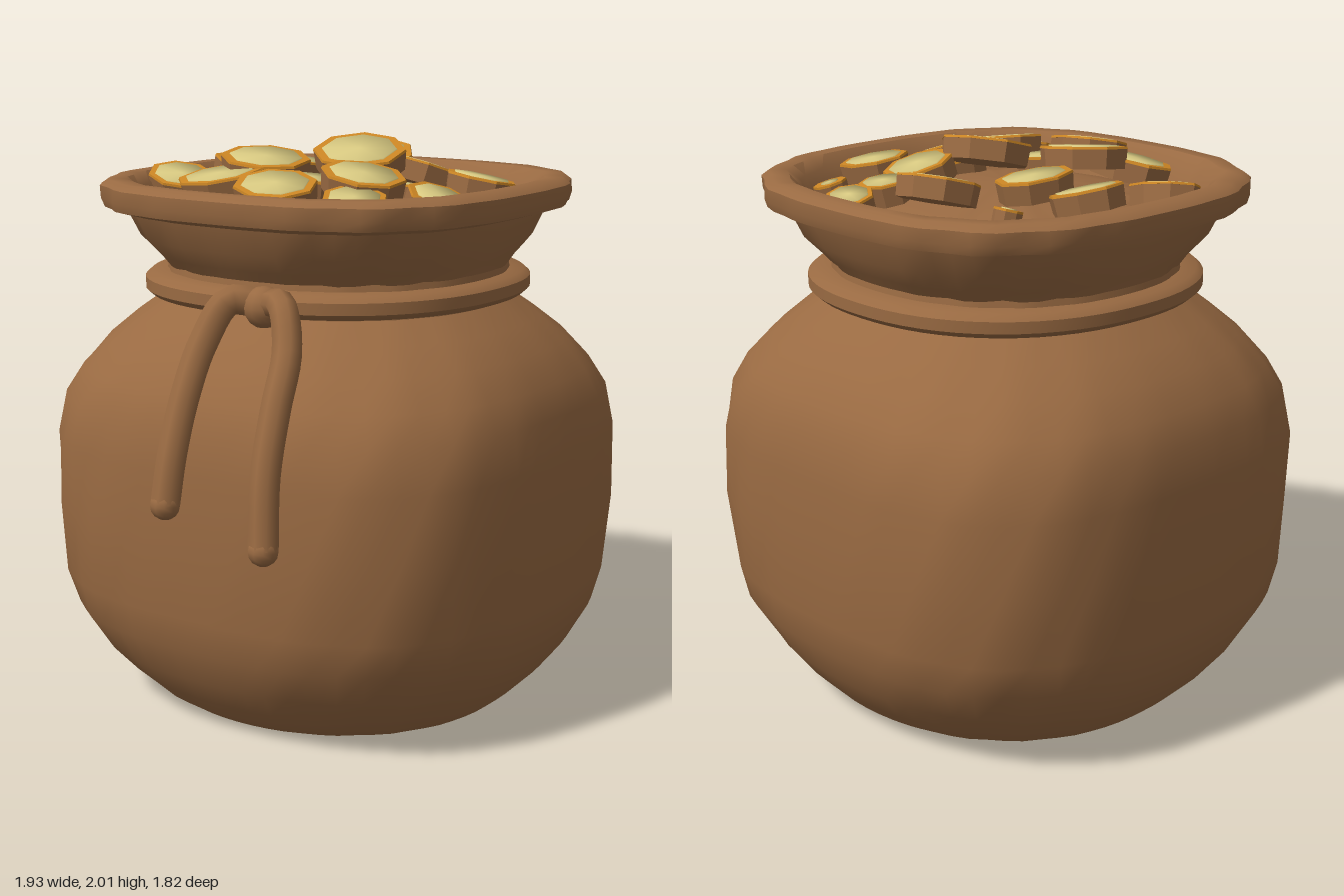
import * as THREE from 'three';
import { toCreasedNormals } from 'three/addons/utils/BufferGeometryUtils.js';

const CX = 0.07; // the sack sits slightly to its left, the strings hang on its right

// Superellipse rings: each row is [y, half width, half depth, squareness]
function loft(rows, wobble = 0, seg = 64) {
  const pos = [], idx = [];
  for (const [y, rx, rz, p] of rows) {
    for (let i = 0; i < seg; i++) {
      const a = (i / seg) * Math.PI * 2, c = Math.cos(a), s = Math.sin(a);
      const k = Math.pow(Math.abs(c) ** p + Math.abs(s) ** p, -1 / p);
      const w = 1 + wobble * Math.sin(2 * a) ** 2 * Math.sin(20 * a + 9 * y);
      pos.push(CX + c * k * rx * w, y, s * k * rz * w);
    }
  }
  for (let j = 0; j < rows.length - 1; j++) {
    for (let i = 0; i < seg; i++) {
      const a = j * seg + i, b = j * seg + (i + 1) % seg;
      idx.push(a, a + seg, b, b, a + seg, b + seg);
    }
  }
  const g = new THREE.BufferGeometry();
  g.setAttribute('position', new THREE.Float32BufferAttribute(pos, 3));
  g.setIndex(idx);
  return toCreasedNormals(g, 0.7);
}

export function createModel() {
  const model = new THREE.Group();
  const mat = (name, color) => new THREE.MeshStandardMaterial({ name, color });
  const cloth = mat('brown cloth', 0x996a42);
  const orange = mat('orange gold', 0xcc8624);
  const cream = mat('pale gold', 0xd8c981);
  const add = (name, geometry, material, parent = model) => {
    const m = new THREE.Mesh(geometry, material);
    m.name = name;
    parent.add(m);
    return m;
  };

  // Bulging body with a flat base, up to the pinched neck
  add('sackBody', loft([
    [0, 0.001, 0.001, 2], [0, 0.62, 0.64, 2.05], [0.04, 0.68, 0.69, 2.1], [0.11, 0.745, 0.76, 2.25],
    [0.2, 0.805, 0.825, 2.45], [0.33, 0.865, 0.885, 2.7], [0.45, 0.885, 0.905, 2.85],
    [0.7, 0.893, 0.912, 3], [0.95, 0.893, 0.912, 3], [1.1, 0.875, 0.895, 2.85],
    [1.2, 0.835, 0.855, 2.65], [1.3, 0.765, 0.785, 2.45], [1.38, 0.685, 0.7, 2.3],
    [1.45, 0.6, 0.61, 2.2], [1.58, 0.58, 0.59, 2.2],
  ], 0.006), cloth);

  // Flared collar, rolled rim and inner wall
  add('sackCollar', loft([
    [1.56, 0.58, 0.59, 2.2], [1.6, 0.61, 0.61, 2.3], [1.66, 0.655, 0.65, 2.5],
    [1.75, 0.69, 0.68, 2.65], [1.77, 0.755, 0.75, 2.75], [1.8, 0.765, 0.76, 2.75],
    [1.845, 0.765, 0.76, 2.75], [1.865, 0.74, 0.735, 2.75], [1.865, 0.69, 0.68, 2.7],
    [1.83, 0.655, 0.645, 2.6], [1.76, 0.625, 0.615, 2.5], [1.69, 0.59, 0.58, 2.5],
  ], 0.012), cloth);

  // Lumpy mound that carries the coins
  add('filling', loft([
    [1.7, 0.63, 0.62, 2.5], [1.76, 0.52, 0.52, 2.3], [1.79, 0.38, 0.38, 2],
    [1.82, 0.2, 0.2, 2], [1.83, 0.001, 0.001, 2],
  ], 0.06), cloth);

  // Cord tied around the neck
  add('neckCord', loft([
    [1.455, 0.56, 0.56, 2.2], [1.46, 0.645, 0.64, 2.25], [1.48, 0.668, 0.662, 2.25],
    [1.52, 0.668, 0.662, 2.25], [1.54, 0.645, 0.64, 2.25], [1.545, 0.56, 0.56, 2.2],
  ]), cloth);

  // Knot and two dangling cord ends
  const knot = add('cordKnot', new THREE.SphereGeometry(0.07, 12, 8), cloth);
  knot.position.set(-0.59, 1.5, 0.16);
  const ends = [
    [[-0.57, 1.5, 0.15], [-0.64, 1.52, 0.06], [-0.72, 1.39, 0.01], [-0.81, 1.22, 0], [-0.88, 1.04, 0], [-0.92, 0.88, 0]],
    [[-0.57, 1.5, 0.15], [-0.64, 1.52, 0.27], [-0.71, 1.39, 0.34], [-0.8, 1.22, 0.36], [-0.87, 1.02, 0.37], [-0.91, 0.79, 0.39]],
  ];
  for (const pts of ends) {
    const v = pts.map((p) => new THREE.Vector3(...p));
    add('cordEnd', new THREE.TubeGeometry(new THREE.CatmullRomCurve3(v), 24, 0.05, 8), cloth);
    add('cordTip', new THREE.SphereGeometry(0.051, 10, 8), cloth).position.copy(v[v.length - 1]);
  }

  // Coins: [x, y, z, half width, half depth, pitch toward front, roll toward right]
  const coins = [
    [-0.16, 1.82, -0.53, 0.105, 0.135, 0.2, 0.25], [0.13, 1.84, -0.455, 0.125, 0.135, 0.25, -0.05],
    [-0.31, 1.85, -0.23, 0.13, 0.165, -0.1, 0.2], [0.17, 1.86, -0.25, 0.145, 0.12, 0.1, -0.08],
    [-0.15, 1.9, -0.16, 0.15, 0.165, 0.12, 0.12], [0.48, 1.87, -0.11, 0.14, 0.145, 0.1, 0.3],
    [-0.44, 1.85, 0.1, 0.13, 0.15, 0.1, 0.25], [0.1, 1.92, 0.07, 0.16, 0.17, 0.12, 0.27],
    [-0.17, 1.84, 0.05, 0.1, 0.1, 0.1, 0], [0.3, 1.86, 0.18, 0.115, 0.14, 0.15, -0.3],
    [-0.18, 1.87, 0.27, 0.14, 0.15, 0.2, 0.1], [-0.35, 1.81, 0.35, 0.115, 0.11, 0.2, 0.2],
    [0, 1.82, 0.32, 0.105, 0.1, 0.1, -0.15], [-0.1, 1.8, 0.52, 0.13, 0.12, 0.4, 0],
    [0.27, 1.83, 0.46, 0.12, 0.13, 0.15, -0.12], [0.46, 1.82, 0.18, 0.075, 0.1, 0.1, -0.2],
    [0.59, 1.79, 0.2, 0.075, 0.1, 0, -0.3], [0.52, 1.79, 0.39, 0.06, 0.06, 0.2, -0.2],
    [0.38, 1.79, -0.33, 0.05, 0.05, 0, 0.3], [-0.5, 1.78, -0.12, 0.04, 0.05, 0, -0.2],
  ];
  coins.forEach(([x, y, z, rx, rz, pitch, roll], i) => {
    const coin = new THREE.Group();
    coin.name = 'coin';
    const disc = (name, top, bottom, h, cy, m) => {
      const g = toCreasedNormals(new THREE.CylinderGeometry(top, bottom, h, 8), 0.3);
      add(name, g.rotateY(i * 1.3).scale(rx, 1, rz), m, coin).position.y = cy;
    };
    const face = rx < 0.07 ? 0.5 : 0.79;
    disc('coinEdge', 0.99, 0.95, 0.07, 0, cloth);
    disc('coinBorder', 0.98, 1, 0.008, 0.037, orange);
    disc('coinFace', face, face + 0.02, 0.005, 0.042, cream);
    coin.position.set(x, y, z);
    coin.rotation.set(pitch, 0, roll);
    model.add(coin);
  });
  return model;
}
